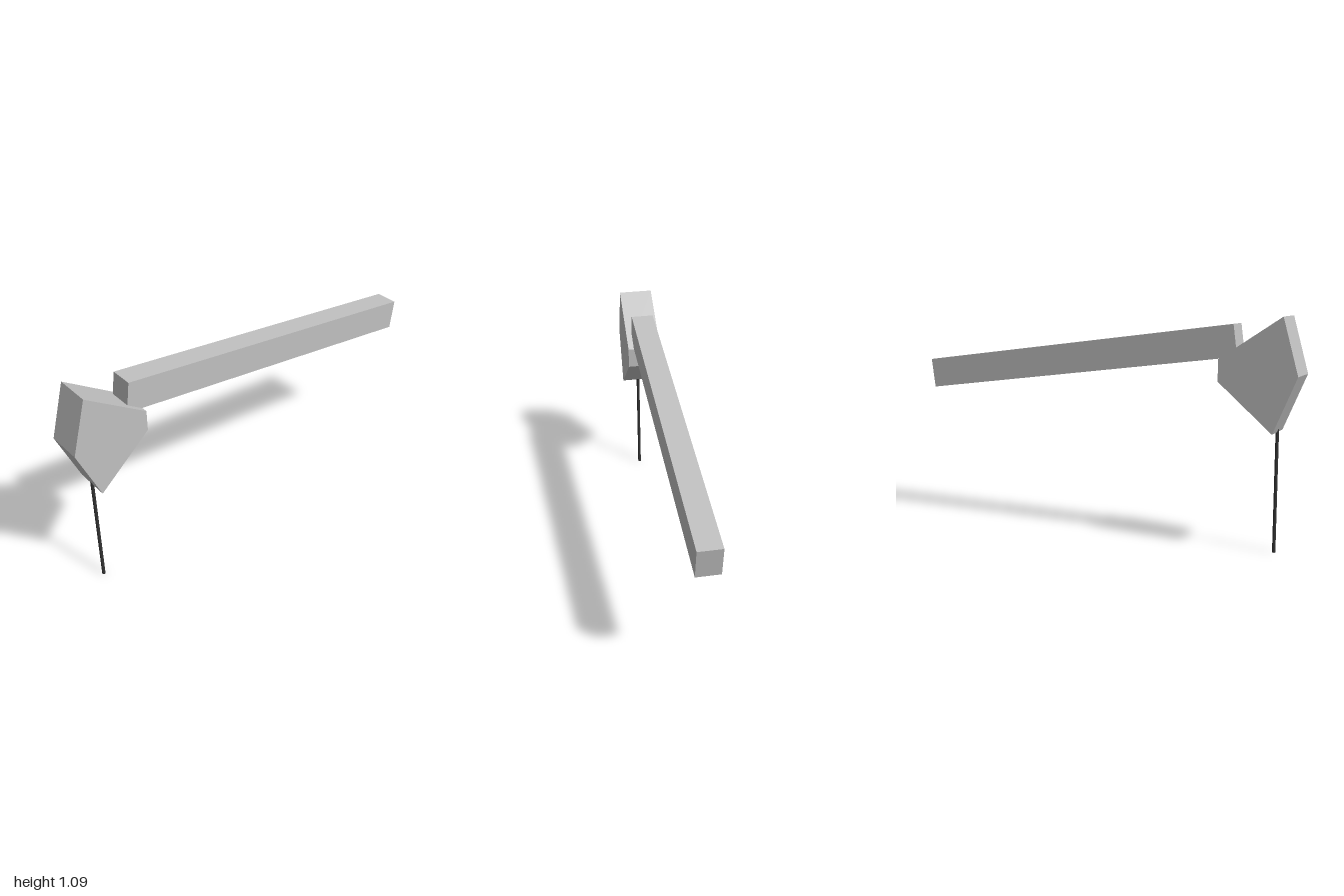
import * as THREE from 'three';

const grey = new THREE.MeshStandardMaterial({ name: 'light grey', color: 0xc0c0c0, flatShading: true });
const dark = new THREE.MeshStandardMaterial({ name: 'dark grey', color: 0x333333 });

// Side profile given as [z, y] points, extruded to a width centred on x = 0
function slab(name, profile, width) {
  const shape = new THREE.Shape(profile.map(([z, y]) => new THREE.Vector2(z, y)));
  const geometry = new THREE.ExtrudeGeometry(shape, { depth: width, bevelEnabled: false });
  geometry.translate(0, 0, -width / 2);
  geometry.rotateY(-Math.PI / 2);
  const mesh = new THREE.Mesh(geometry, grey);
  mesh.name = name;
  return mesh;
}

export function createModel() {
  const model = new THREE.Group();
  model.name = 'model';

  // Five-sided wedge head
  model.add(slab('head', [[0.63, 0.79], [0.89, 0.565], [1, 0.828], [0.927, 1.09], [0.63, 0.892]], 0.17));

  // Long sloping beam, its front end sunk into the head
  model.add(slab('beam', [[-0.98, 0.68], [0.71, 0.904], [0.69, 1.052], [-1, 0.828]], 0.112));

  // Thin pole standing under the head's lowest edge
  const pole = new THREE.Mesh(new THREE.CylinderGeometry(0.008, 0.008, 0.58, 12), dark);
  pole.name = 'pole';
  pole.position.set(0, 0.29, 0.89);
  model.add(pole);

  return model;
}
